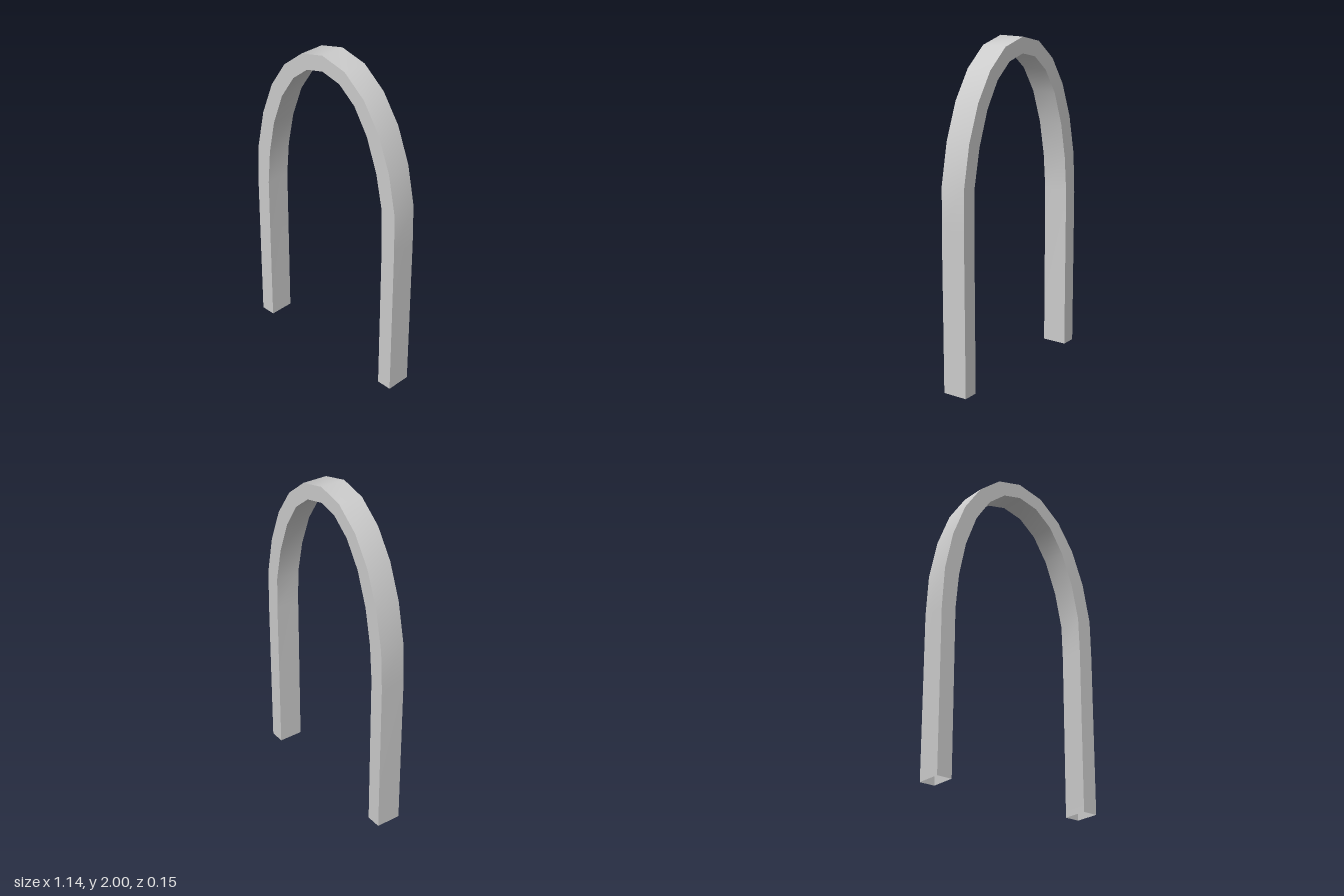
import * as THREE from 'three';

// Matching outer and inner outline points: up the right leg (-x), over the crown, down the left leg
const OUTER = [
  [-0.57, 0], [-0.57, 0.98], [-0.555, 1.23], [-0.503, 1.47], [-0.42, 1.68], [-0.308, 1.845], [-0.163, 1.96], [0, 2],
  [0.17, 1.96], [0.315, 1.845], [0.428, 1.68], [0.511, 1.47], [0.561, 1.23], [0.567, 0.98], [0.567, 0],
];
const INNER = [
  [-0.475, 0], [-0.475, 1], [-0.455, 1.22], [-0.41, 1.435], [-0.335, 1.635], [-0.235, 1.785], [-0.122, 1.875], [0, 1.905],
  [0.13, 1.875], [0.245, 1.785], [0.342, 1.635], [0.418, 1.435], [0.465, 1.22], [0.472, 1], [0.472, 0],
];
const HALF_DEPTH = 0.077;

// Ribbon of quads between two rails, smooth along its length
function ribbon(railA, railB) {
  const positions = [], index = [];
  railA.forEach((a, i) => {
    positions.push(...a, ...railB[i]);
    if (i < railA.length - 1) {
      const k = i * 2;
      index.push(k, k + 2, k + 1, k + 1, k + 2, k + 3);
    }
  });
  const geometry = new THREE.BufferGeometry();
  geometry.setAttribute('position', new THREE.Float32BufferAttribute(positions, 3));
  geometry.setIndex(index);
  geometry.computeVertexNormals();
  return geometry;
}

export function createModel() {
  const group = new THREE.Group();
  group.name = 'arch';
  const material = new THREE.MeshStandardMaterial({ color: 0xcccccc, side: THREE.DoubleSide });

  // The four long edges of the hollow square bar, whose feet are open
  const rail = (outline, z) => outline.map(([x, y]) => [x, y, z]);
  const rails = [
    rail(OUTER, HALF_DEPTH), rail(OUTER, -HALF_DEPTH),
    rail(INNER, -HALF_DEPTH), rail(INNER, HALF_DEPTH),
  ];

  // One ribbon per side keeps the long edges sharp
  ['outerSurface', 'backFace', 'innerSurface', 'frontFace'].forEach((name, i) => {
    const mesh = new THREE.Mesh(ribbon(rails[i], rails[(i + 1) % 4]), material);
    mesh.name = name;
    group.add(mesh);
  });
  return group;
}
